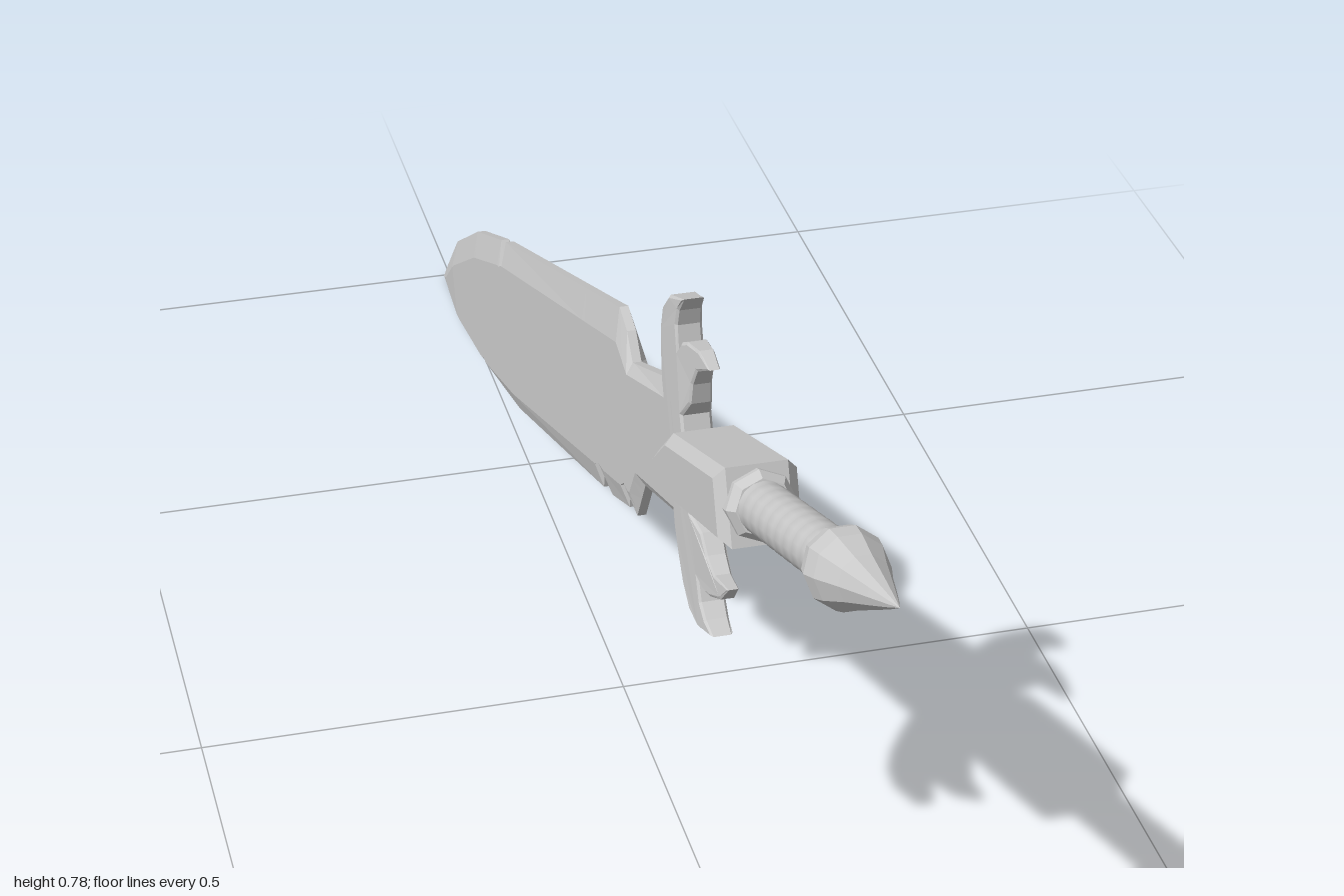
import * as THREE from 'three';

const flat = () => new THREE.MeshStandardMaterial({ color: 0xcccccc, flatShading: true, side: THREE.DoubleSide });

function part(name, geometry, parent, z = 0) {
  const mesh = new THREE.Mesh(geometry, flat());
  mesh.name = name;
  mesh.position.z = z;
  parent.add(mesh);
  return mesh;
}

// Piecewise-linear height of an outline at distance u
function heightAt(line, u) {
  for (let i = 1; i < line.length; i++) {
    const [u0, t0] = line[i - 1], [u1, t1] = line[i];
    if (u <= u1) return t0 + (t1 - t0) * THREE.MathUtils.clamp((u - u0) / (u1 - u0), 0, 1);
  }
  return line[line.length - 1][1];
}

// Centred slab with bevelled rims, cut from a side profile
function slab(points, depth, bevel) {
  const shape = new THREE.Shape(points.map(([u, t]) => new THREE.Vector2(u, t)));
  const geo = new THREE.ExtrudeGeometry(shape, {
    depth: depth - 2 * bevel, bevelEnabled: true, bevelThickness: bevel,
    bevelSize: bevel, bevelOffset: -bevel, bevelSegments: 1,
  });
  return geo.translate(0, 0, -depth / 2 + bevel);
}

// Blade: eight-cornered sections lofted along its length, with nicked edges
function bladeGeometry() {
  const top = [[-0.33, 0.078], [-0.296, 0.078], [-0.119, 0.067], [-0.105, 0.1], [-0.077, 0.123], [-0.037, 0.122],
    [0.568, 0.112], [0.586, 0.08], [0.597, 0.111], [0.761, 0.101], [0.918, 0.068], [1.073, 0.002]];
  const bottom = [[-0.33, -0.072], [-0.129, -0.069], [-0.073, -0.114], [-0.054, -0.08], [-0.037, -0.111],
    [0.051, -0.114], [0.075, -0.081], [0.096, -0.113], [0.578, -0.103], [0.747, -0.083], [0.756, -0.065],
    [0.782, -0.075], [0.932, -0.048], [1.073, 0]];
  const inner = [[-0.33, 0.06], [-0.12, 0.055], [-0.08, 0.085], [0.57, 0.082], [0.76, 0.068],
    [0.92, 0.036], [1.03, 0.004], [1.073, 0.0]];
  const stations = [...new Set([...top, ...bottom, ...inner].map(p => p[0]))].sort((a, b) => a - b);
  const rings = stations.map(u => {
    const a = heightAt(top, u), b = heightAt(bottom, u), c = heightAt(inner, u);
    const ia = Math.min(c, a - 0.001), ib = Math.max(-c, b + 0.001);
    const taper = THREE.MathUtils.clamp((1.09 - u) / 0.12, 0.1, 1);
    const h = 0.0135 * taper, e = 0.005 * taper;
    return [[a, e], [ia, h], [ib, h], [b, e], [b, -e], [ib, -h], [ia, -h], [a, -e]]
      .map(([t, z]) => [u, t, z]);
  });
  const pos = [];
  for (let i = 0; i < rings.length - 1; i++) {
    for (let k = 0; k < 8; k++) {
      const n = (k + 1) % 8;
      const a = rings[i][k], b = rings[i][n], c = rings[i + 1][n], d = rings[i + 1][k];
      pos.push(...a, ...b, ...c, ...a, ...c, ...d);
    }
  }
  const geo = new THREE.BufferGeometry();
  geo.setAttribute('position', new THREE.Float32BufferAttribute(pos, 3));
  geo.computeVertexNormals();
  return geo;
}

// Guard: mirrored pair of forked, swept-back horns
function guardGeometry() {
  const half = [[-0.312, 0], [-0.298, 0.03], [-0.296, 0.079], [-0.303, 0.11], [-0.312, 0.138], [-0.331, 0.163],
    [-0.357, 0.177], [-0.403, 0.178], [-0.383, 0.164], [-0.372, 0.147], [-0.369, 0.121], [-0.385, 0.131],
    [-0.404, 0.134], [-0.44, 0.13], [-0.47, 0.114], [-0.428, 0.107], [-0.408, 0.09], [-0.396, 0.068],
    [-0.37, 0.052]];
  const mirrored = half.slice(1).reverse().map(([u, t]) => [u, -t]);
  const geo = slab([...half, ...mirrored], 0.034, 0.003);
  // Thin the horns toward their tips
  const p = geo.attributes.position;
  for (let i = 0; i < p.count; i++) {
    if (Math.abs(p.getY(i)) < 0.065) continue;
    const k = THREE.MathUtils.clamp((-0.34 - p.getX(i)) / 0.13, 0, 1);
    p.setZ(i, p.getZ(i) * (1 - 0.65 * k));
  }
  geo.computeVertexNormals();
  return geo;
}

// Round parts are turned about the sword's axis, distance growing toward the pommel
function turned(name, profile, sides, parent) {
  const geo = new THREE.LatheGeometry(profile.map(([r, d]) => new THREE.Vector2(r, d)), sides);
  const mesh = part(name, geo, parent);
  mesh.rotation.z = Math.PI / 2;
  return mesh;
}

export function createModel() {
  const model = new THREE.Group();
  model.name = 'sword';

  // Local x runs to the blade tip, local y to the upper edge, local z across the thickness
  const sword = new THREE.Group();
  sword.name = 'tiltedSword';
  sword.rotation.setFromRotationMatrix(new THREE.Matrix4().makeBasis(
    new THREE.Vector3(0, -0.365, -0.931),
    new THREE.Vector3(0, 0.931, -0.365),
    new THREE.Vector3(1, 0, 0)));
  sword.position.y = 0.392;
  model.add(sword);

  part('blade', bladeGeometry(), sword, -0.006);
  part('guard', guardGeometry(), sword, -0.003);

  // Chunky block behind the guard, pointed toward the blade
  part('gripBlock', slab([[-0.6, 0.041], [-0.385, 0.038], [-0.312, 0.008], [-0.312, -0.008],
    [-0.385, -0.038], [-0.6, -0.041]], 0.086, 0.011), sword);

  // Stepped collar where the handle enters the block
  turned('collar', [[0.037, 0.59], [0.037, 0.608], [0.03, 0.62], [0.024, 0.62]], 8, sword);

  // Handle with shallow wrapped ridges
  const wraps = 9, ridges = [];
  for (let i = 0; i <= wraps; i++) {
    const d = 0.6 + (i * 0.27) / wraps;
    ridges.push([0.0255, d], [0.0275, d + 0.006], [0.0275, d + 0.024]);
  }
  turned('handle', ridges, 16, sword).material.flatShading = false;

  // Pointed pommel
  turned('pommel', [[0.024, 0.855], [0.029, 0.865], [0.037, 0.885], [0.0405, 0.905], [0.037, 0.927],
    [0.026, 0.968], [0.014, 1.02], [0.006, 1.053], [0, 1.075]], 10, sword);

  return model;
}
